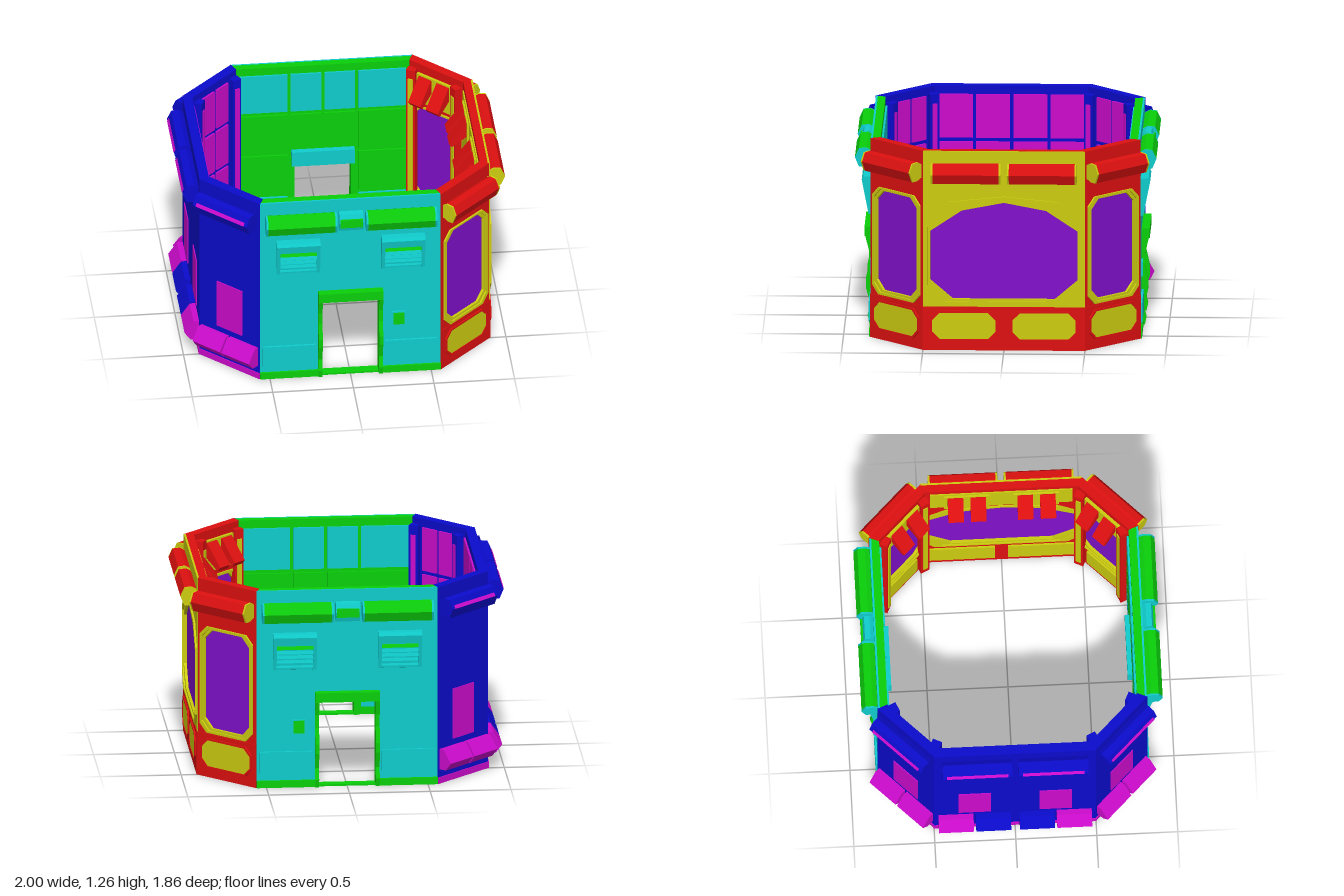
import * as THREE from 'three';

const paint = (color) => new THREE.MeshStandardMaterial({ color });
const cyan = paint(0x10cccc), green = paint(0x0bcf0b), blue = paint(0x0b0bcc), magenta = paint(0xcc0bcc);
const red = paint(0xdd1010), yellow = paint(0xcccc10), purple = paint(0x8010cc);
const H = 1.26, T = 0.06, MITRE = Math.tan(Math.PI / 8);
const vec = (pts) => pts.map(([x, y]) => new THREE.Vector2(x, y));

function add(parent, name, geo, mat) {
  const m = new THREE.Mesh(geo, mat);
  m.name = name;
  parent.add(m);
}
// Box given by its limits
function box(parent, name, x0, x1, y0, y1, z0, z1, mat) {
  const g = new THREE.BoxGeometry(x1 - x0, y1 - y0, z1 - z0);
  add(parent, name, g.translate((x0 + x1) / 2, (y0 + y1) / 2, (z0 + z1) / 2), mat);
}
// Outline in x,y pushed through z; outer corners are mitred when a half width is given
function plate(parent, name, pts, z0, z1, mat, holes = [], half = 0) {
  const s = new THREE.Shape(vec(pts));
  holes.forEach((h) => s.holes.push(new THREE.Path(vec(h))));
  const g = new THREE.ExtrudeGeometry(s, { depth: z1 - z0, bevelEnabled: false }).translate(0, 0, z0);
  if (half) {
    const p = g.attributes.position;
    for (let i = 0; i < p.count; i++) {
      const x = p.getX(i);
      if (Math.abs(x) > half - 0.001) p.setX(i, x + Math.sign(x) * p.getZ(i) * MITRE);
    }
    g.computeVertexNormals();
  }
  add(parent, name, g, mat);
}
// Outline in z,y stretched along x
function bar(parent, name, pts, x0, x1, mat) {
  const g = new THREE.ExtrudeGeometry(new THREE.Shape(vec(pts)), { depth: x1 - x0, bevelEnabled: false });
  add(parent, name, g.rotateY(-Math.PI / 2).translate(x1, 0, 0), mat);
}
const rect = (x0, x1, y0, y1) => [[x0, y0], [x1, y0], [x1, y1], [x0, y1]];
const oct = (x0, x1, y0, y1, c) => [[x0 + c, y0], [x1 - c, y0], [x1, y0 + c], [x1, y1 - c],
  [x1 - c, y1], [x0 + c, y1], [x0, y1 - c], [x0, y0 + c]];
const mix = (a, b, t) => a.map((p, i) => [p[0] + (b[i][0] - p[0]) * t, p[1] + (b[i][1] - p[1]) * t]);

const LAMP = [[-0.005, 1.09], [0.04, 1.07], [0.075, 1.07], [0.1, 1.13], [0.075, 1.185], [0.03, 1.19], [-0.005, 1.17]];
const BUMPER = [[-0.005, 0.09], [0.05, 0.09], [0.09, 0.14], [0.035, 0.22], [-0.005, 0.22]];

function lamp(g, x0, x1, mat, capMat) {
  bar(g, 'lampBody', LAMP, x0 + 0.012, x1 - 0.012, mat);
  bar(g, 'lampCap', LAMP, x0, x0 + 0.012, capMat);
  bar(g, 'lampCap', LAMP, x1 - 0.012, x1, capMat);
}

// Inner panel grid; xs and ys are the joint lines
function panelGrid(g, xs, ys, matFor) {
  for (let i = 0; i < xs.length - 1; i++) for (let j = 0; j < ys.length - 1; j++) {
    box(g, 'innerPanel', xs[i] + 0.01, xs[i + 1] - 0.01, ys[j] + 0.012, ys[j + 1] - 0.012, -T - 0.012, -T + 0.01, matFor(j));
  }
}

// Slanted posts at both ends of a diagonal wall
function pilasters(g, mat, faceMat) {
  for (const s of [-1, 1]) {
    plate(g, 'cornerPost', rect(-0.03, 0.03, 0.02, 1.22), -0.025, 0.025, mat);
    const post = g.children.at(-1);
    post.position.set(s * 0.175, 0, -T - 0.022);
    post.rotation.y = s * 0.35;
    const face = new THREE.Group();
    face.name = 'postFace';
    face.position.copy(post.position);
    face.rotation.copy(post.rotation);
    box(face, 'postInlay', -0.016, 0.016, 0.08, 1.16, -0.031, -0.02, faceMat);
    g.add(face);
  }
}

function doorWall(g, side) {
  const w = 0.56, d = 0.185;
  const outline = [[-w, 0], [-d, 0], [-d, 0.58], [d, 0.58], [d, 0], [w, 0], [w, H], [-w, H]];
  plate(g, 'wallSkin', outline, -0.012, 0, cyan, [], w);
  plate(g, 'wallCore', outline, -T, -0.012, green, [], w);
  // Door frame with wavy jambs
  const wave = [[-0.07, 0], [0.02, 0], [0.03, 0.05], [0.012, 0.12], [0.04, 0.22], [0.042, 0.28], [0.02, 0.38],
    [0.022, 0.46], [0.045, 0.55], [0.045, 0.61], [-0.07, 0.61]];
  bar(g, 'doorJamb', wave, -0.2, -0.175, green);
  bar(g, 'doorJamb', wave, 0.175, 0.2, green);
  box(g, 'doorHeader', -0.2, 0.2, 0.55, 0.61, -0.07, 0.05, green);
  box(g, 'doorSill', -0.18, 0.18, 0, 0.012, -T, 0, green);
  box(g, 'innerLintel', -0.195, 0.195, 0.56, 0.66, -0.1, -T, cyan);
  box(g, 'doorButton', side * 0.3 - 0.042, side * 0.3 + 0.042, 0.34, 0.435, -0.005, 0.012, cyan);
  box(g, 'doorButtonFace', side * 0.3 - 0.034, side * 0.3 + 0.034, 0.348, 0.427, 0, 0.02, green);
  for (const s of [-1, 1]) {
    const span = (a, b) => (s > 0 ? [a, b] : [-b, -a]);
    const [b0, b1] = span(0.2, 0.56), [p0, p1] = span(0.21, 0.545), [l0, l1] = span(0.09, 0.53);
    box(g, 'baseboard', b0, b1, 0, 0.045, -0.02, 0.012, green);
    plate(g, 'lowerPanel', oct(p0, p1, 0.09, 0.23, 0.008), -0.005, 0.014, cyan);
    lamp(g, l0, l1, green, cyan);
    // Louvred vent hood, deepest at its top
    const [v0, v1] = span(0.19, 0.46);
    const hood = [[-0.005, 0.75], [0.018, 0.755], [0.06, 0.97], [0.05, 0.99], [-0.005, 0.99]];
    bar(g, 'ventCheek', hood, v0, v0 + 0.022, cyan);
    bar(g, 'ventCheek', hood, v1 - 0.022, v1, cyan);
    bar(g, 'ventBack', hood.map(([z, y]) => [z * 0.6, y]), v0, v1, cyan);
    bar(g, 'ventTop', [[0, 0.92], [0.05, 0.92], [0.06, 0.97], [0.05, 0.99], [0, 0.99]], v0, v1, cyan);
    for (let i = 0; i < 5; i++) {
      const y = 0.77 + i * 0.03;
      bar(g, 'ventSlat', [[0, y], [0.018 + i * 0.006, y], [0.012 + i * 0.006, y + 0.02], [0, y + 0.02]],
        v0 + 0.02, v1 - 0.02, i === 4 ? green : cyan);
    }
    // Inner panels beside the door
    const xs = s > 0 ? [0.21, 0.525] : [-0.525, -0.21];
    panelGrid(g, xs, [0.04, 0.34, 0.64, 0.93, 1.22], (j) => (j === 0 || j === 3 ? cyan : green));
  }
  panelGrid(g, [-0.21, 0, 0.21], [0.67, 0.93, 1.22], (j) => (j ? cyan : green));
  bar(g, 'lampBridge', LAMP.map(([z, y]) => [z * 0.75, y]), -0.075, 0.075, cyan);
  box(g, 'lampBridgeInlay', -0.07, 0.07, 1.1, 1.155, 0.05, 0.08, green);
}

// Framed window pane, set in a hole of the wall
function windowUnit(g, outer, inner) {
  const mid = mix(outer, inner, 0.5);
  plate(g, 'windowFrame', outer, -T - 0.01, 0.012, yellow, [mid]);
  plate(g, 'windowRim', mid, -T, 0.002, yellow, [inner]);
  plate(g, 'windowPane', mid, -0.04, -0.015, purple);
}

// Sloped screens leaning in from the top of the wall
function screens(g, cx) {
  box(g, 'screenMount', cx - 0.14, cx + 0.14, 1.0, 1.2, -T - 0.02, -T + 0.005, yellow);
  for (const s of [-1, 1]) {
    const x = cx + s * 0.07;
    bar(g, 'screen', [[-0.07, 1.19], [-0.085, 1.19], [-0.19, 1.05], [-0.17, 1.025], [-0.07, 1.1]], x - 0.048, x + 0.048, red);
  }
}

function redWall(g, wide) {
  const w = wide ? 0.5 : 0.237;
  const half = [[0.455, 0.445], [0.455, 0.755], [0.26, 0.885]], halfOut = [[0.485, 0.38], [0.485, 0.81], [0.34, 0.94]];
  const loop = (h, top, bx, by) => [[-bx, by], [bx, by], ...h, [0, top],
    ...[...h].reverse().map(([x, y]) => [-x, y])];
  const outer = wide ? loop(halfOut, 0.975, 0.41, 0.295) : oct(-0.212, 0.212, 0.285, 0.965, 0.055);
  const inner = wide ? loop(half, 0.935, 0.315, 0.325) : oct(-0.18, 0.18, 0.315, 0.945, 0.06);
  const hole = mix(outer, inner, 0.3);
  plate(g, 'wallCore', rect(-w, w, 0, H), -T, -0.012, red, [hole], w);
  plate(g, 'upperSkin', rect(-w, w, 0.275, H), -0.012, 0, wide ? yellow : red, [hole], w);
  plate(g, 'lowerSkin', rect(-w, w, 0, 0.275), -0.012, 0.004, red, [], w);
  windowUnit(g, outer, inner);
  for (const [a, b] of wide ? [[-0.455, -0.04], [0.04, 0.455]] : [[-0.205, 0.205]]) {
    plate(g, 'lowerPanelRim', oct(a, b, 0.06, 0.25, 0.05), 0, 0.014, red, [oct(a + 0.012, b - 0.012, 0.072, 0.238, 0.046)]);
    plate(g, 'lowerPanel', oct(a + 0.012, b - 0.012, 0.072, 0.238, 0.046), 0, 0.01, yellow);
    box(g, 'innerLowerPanel', Math.max(a, -0.13 - 0.4 * wide), Math.min(b, 0.13 + 0.4 * wide), 0.06, 0.25, -T - 0.012, -T + 0.01, yellow);
  }
  if (wide) {
    box(g, 'innerUpperPanel', -0.44, 0.44, 1.0, 1.22, -T - 0.008, -T + 0.01, yellow);
    for (const s of [-1, 1]) {
      lamp(g, s * 0.235 - 0.215, s * 0.235 + 0.215, red, yellow);
      screens(g, s * 0.215);
    }
  } else {
    lamp(g, -0.22, 0.22, red, yellow);
    screens(g, 0);
    pilasters(g, red, yellow);
  }
}

function blueWall(g, wide) {
  const w = wide ? 0.5 : 0.237;
  plate(g, 'wall', rect(-w, w, 0, H), -T, 0, blue, [], w);
  plate(g, 'baseboard', rect(-w, w, 0, 0.04), -0.012, 0.006, magenta, [], w);
  for (const c of wide ? [-0.25, 0.25] : [0]) {
    box(g, 'outerPanel', c - 0.1, c + 0.1, 0.26, 0.58, -0.005, 0.006, magenta);
    const x = c * 0.94;
    lamp(g, x - 0.215, x + 0.215, blue, blue);
    bar(g, 'lampStripe', [[0.06, 1.125], [0.103, 1.13], [0.085, 1.16], [0.06, 1.16]], x - 0.19, x + 0.19, magenta);
    for (const s of [-1, 1]) {
      const m = c + s * 0.115;
      bar(g, 'bumper', BUMPER, m - 0.108, m + 0.108, wide && Math.abs(m) < 0.2 ? blue : magenta);
    }
  }
  const rows = [0.04, 0.32, 0.62, 0.92, 1.22];
  panelGrid(g, wide ? [-0.46, -0.23, 0, 0.23, 0.46] : [-0.135, 0, 0.135], rows, () => magenta);
  if (!wide) pilasters(g, blue, magenta);
}

export function createModel() {
  const model = new THREE.Group();
  model.name = 'octagonalModule';
  const place = (name, x, z, angle, build, arg) => {
    const g = new THREE.Group();
    g.name = name;
    g.position.set(x, 0, z);
    g.rotation.y = angle;
    build(g, arg);
    model.add(g);
  };
  const q = Math.PI / 4;
  place('frontDoorWall', 0, 0.83, 0, doorWall, 1);
  place('backDoorWall', 0, -0.83, 4 * q, doorWall, -1);
  place('leftWindowWall', 0.9, 0, 2 * q, redWall, true);
  place('rightPanelWall', -0.9, 0, -2 * q, blueWall, true);
  for (const s of [1, -1]) {
    const a = s > 0 ? q : 3 * q;
    place('diagonalWindowWall', 0.73, s * 0.665, a, redWall, false);
    place('diagonalPanelWall', -0.73, s * 0.665, -a, blueWall, false);
  }
  return model;
}
